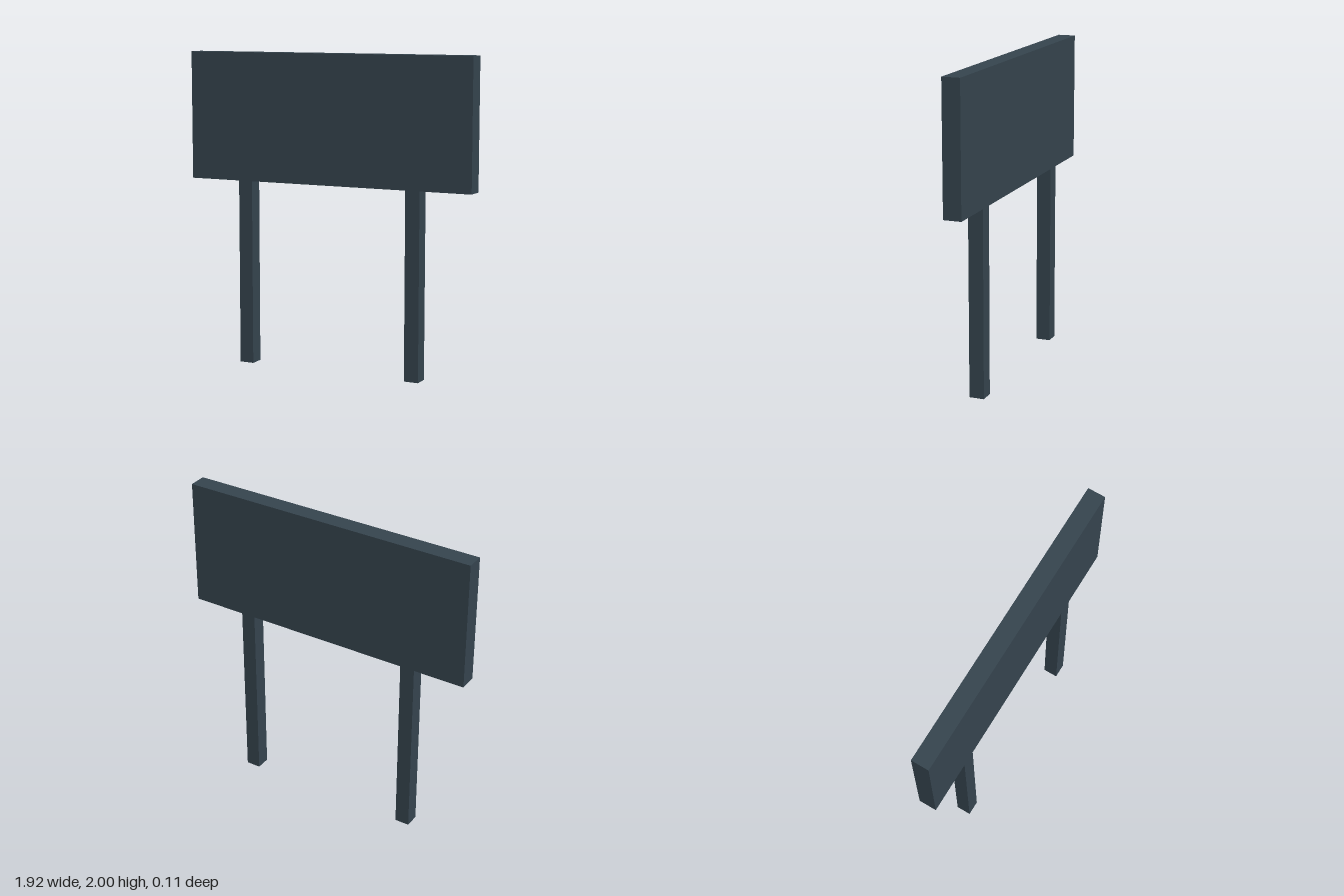
import * as THREE from 'three';

const PANEL_BOTTOM = 1.185;

export function createModel() {
  const group = new THREE.Group();
  group.name = 'signboard';
  const material = new THREE.MeshStandardMaterial({ color: 0x36454f });

  const addBox = (name, width, height, depth, x, bottom) => {
    const mesh = new THREE.Mesh(new THREE.BoxGeometry(width, height, depth), material);
    mesh.name = name;
    mesh.position.set(x, bottom + height / 2, 0);
    group.add(mesh);
  };

  // Wide board
  addBox('panel', 1.925, 2 - PANEL_BOTTOM, 0.113, 0, PANEL_BOTTOM);

  // Mirrored pair of square posts
  for (const [name, side] of [['leftPost', 1], ['rightPost', -1]]) {
    addBox(name, 0.094, PANEL_BOTTOM, 0.094, side * 0.578, 0);
  }

  return group;
}
